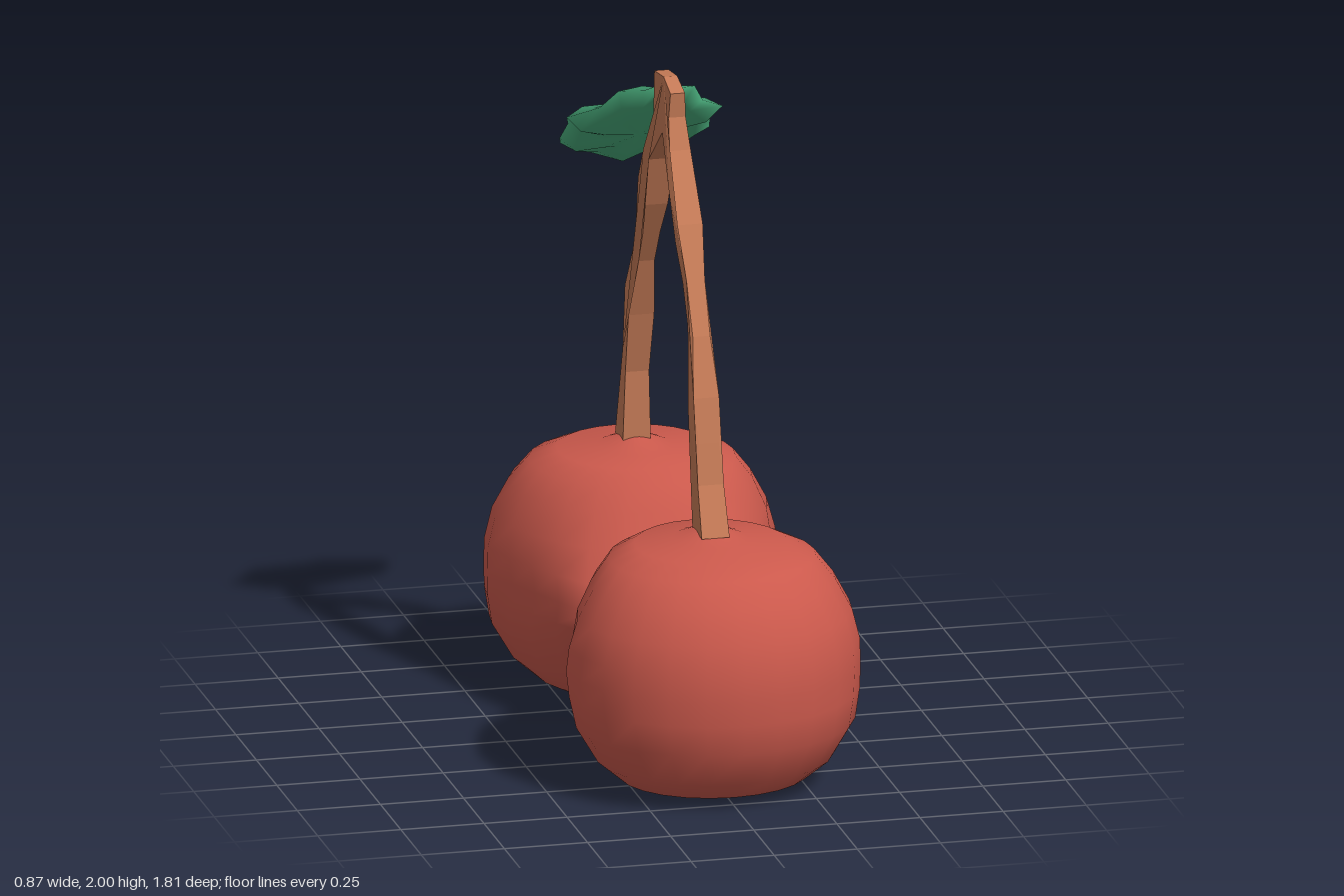
import * as THREE from 'three';

const red = new THREE.MeshStandardMaterial({ name: 'cherry red', color: 0xcb594c });
const brown = new THREE.MeshStandardMaterial({ name: 'stem brown', color: 0xc67b57 });
const green = new THREE.MeshStandardMaterial({ name: 'leaf green', color: 0x4aae7d });

// Skin over closed rings, listed bottom to top, each counterclockwise seen from above
function loft(rings) {
  const n = rings[0].length, index = [];
  for (let r = 0; r < rings.length - 1; r++) {
    for (let i = 0; i < n; i++) {
      const a = r * n + i, b = r * n + (i + 1) % n;
      index.push(a, b, b + n, a, b + n, a + n);
    }
  }
  const geo = new THREE.BufferGeometry();
  geo.setAttribute('position', new THREE.Float32BufferAttribute(rings.flat(2), 3));
  geo.setIndex(index);
  geo.computeVertexNormals();
  return geo;
}

// Cherry: round outside, pinched into a level ridge on the side facing its twin
function cherryGeometry() {
  // y, half width, inner z, outer z, pinch
  const levels = [
    [0.005, 0.001, 0.469, 0.471, 0], [0.005, 0.22, 0.28, 0.68, 0], [0.03, 0.28, 0.24, 0.76, 0],
    [0.09, 0.35, 0.18, 0.83, 0.1], [0.2, 0.415, 0.11, 0.89, 0.35], [0.29, 0.432, 0.062, 0.9, 0.7],
    [0.365, 0.437, 0.022, 0.905, 1], [0.44, 0.432, 0.058, 0.9, 0.7], [0.53, 0.408, 0.1, 0.88, 0.35],
    [0.62, 0.36, 0.155, 0.83, 0.1], [0.69, 0.305, 0.2, 0.765, 0], [0.725, 0.225, 0.25, 0.69, 0],
    [0.735, 0.11, 0.34, 0.58, 0], [0.78, 0.001, 0.464, 0.466, 0],
  ];
  const n = 24;
  return loft(levels.map(([y, rx, zIn, zOut, pinch]) => {
    const zc = zIn + (zOut - zIn) * 0.52;
    return Array.from({ length: n }, (_, i) => {
      const a = i / n * Math.PI * 2, c = Math.cos(a), s = Math.sin(a);
      if (s <= 0) return [rx * c, y, zc - s * (zOut - zc)];
      const k = Math.min(1 / s, 1 / (Math.abs(c) + 0.46 * s));
      const m = 1 + (k - 1) * pinch;
      return [rx * c * m, y, zc - s * m * (zc - zIn)];
    });
  }));
}

// Forked stem: side outline extruded across, with knobbly thickness along its height
function stemGeometry() {
  const outline = [
    [0.07, 1.975], [0.063, 1.9], [0.1, 1.81], [0.22, 1.62], [0.29, 1.47], [0.36, 1.32], [0.42, 1.15],
    [0.45, 1.02], [0.475, 0.9], [0.535, 0.755], [0.42, 0.755], [0.38, 0.945], [0.35, 1.1], [0.29, 1.33],
    [0.235, 1.45], [0.18, 1.555], [0.12, 1.7], [0, 1.835], [-0.125, 1.715], [-0.19, 1.555], [-0.25, 1.45],
    [-0.31, 1.345], [-0.375, 1.16], [-0.425, 0.97], [-0.43, 0.755], [-0.525, 0.755], [-0.48, 1.025],
    [-0.415, 1.24], [-0.35, 1.4], [-0.26, 1.62], [-0.19, 1.73], [-0.115, 1.86], [-0.13, 1.985], [-0.02, 2],
  ];
  const thickness = [[0.75, 0.042], [0.95, 0.038], [1.02, 0.03], [1.1, 0.038], [1.25, 0.04], [1.33, 0.024],
    [1.45, 0.026], [1.6, 0.038], [1.72, 0.04], [1.85, 0.028], [2.01, 0.02]];
  const halfAt = (y) => {
    const i = Math.max(1, thickness.findIndex(([h]) => h >= y));
    const [y0, t0] = thickness[i - 1], [y1, t1] = thickness[i];
    return t0 + (t1 - t0) * (y - y0) / (y1 - y0);
  };
  const shape = new THREE.Shape(outline.map(([z, y]) => new THREE.Vector2(z, y)));
  const geo = new THREE.ExtrudeGeometry(shape, { depth: 2, bevelEnabled: false });
  geo.translate(0, 0, -1).rotateY(-Math.PI / 2);
  const p = geo.attributes.position;
  for (let i = 0; i < p.count; i++) p.setX(i, p.getX(i) * halfAt(p.getY(i)));
  geo.computeVertexNormals();
  return geo;
}

// Leaf: thin crumpled pad with a dished top, sloping down to the back
function leafGeometry() {
  const half = [[0.05, -0.145], [0.115, -0.19], [0.155, -0.255], [0.235, -0.335], [0.215, -0.4],
    [0.225, -0.46], [0.2, -0.555], [0.1, -0.61]];
  const mirrored = half.map(([x, z]) => [-x, z]).reverse();
  const outline = [[0, -0.135], ...half, [0, -0.65], ...mirrored];
  const zc = -0.41;
  // radius fraction, height above the leaf plane, crumple
  const rings = [[0.001, -0.035, 0], [0.45, -0.035, 0.006], [0.8, -0.025, 0.012], [1, 0.005, 0.012],
    [0.78, 0.032, 0.012], [0.45, 0.0, 0.01], [0.001, -0.018, 0]];
  return loft(rings.map(([f, lift, crumple], r) => outline.map(([x, z], i) => {
    const side = Math.min(i, outline.length - i);
    const zz = zc + (z - zc) * f;
    return [x * f, 1.925 + 0.72 * (zz + 0.145) + lift + crumple * Math.sin(side * 2.4 + r), zz];
  })));
}

export function createModel() {
  const model = new THREE.Group();
  const add = (name, geometry, material) => {
    const mesh = new THREE.Mesh(geometry, material);
    mesh.name = name;
    model.add(mesh);
    return mesh;
  };
  const cherry = cherryGeometry();
  add('frontCherry', cherry, red);
  add('backCherry', cherry, red).rotation.y = Math.PI;
  add('forkedStem', stemGeometry(), brown);
  add('leaf', leafGeometry(), green);
  return model;
}
